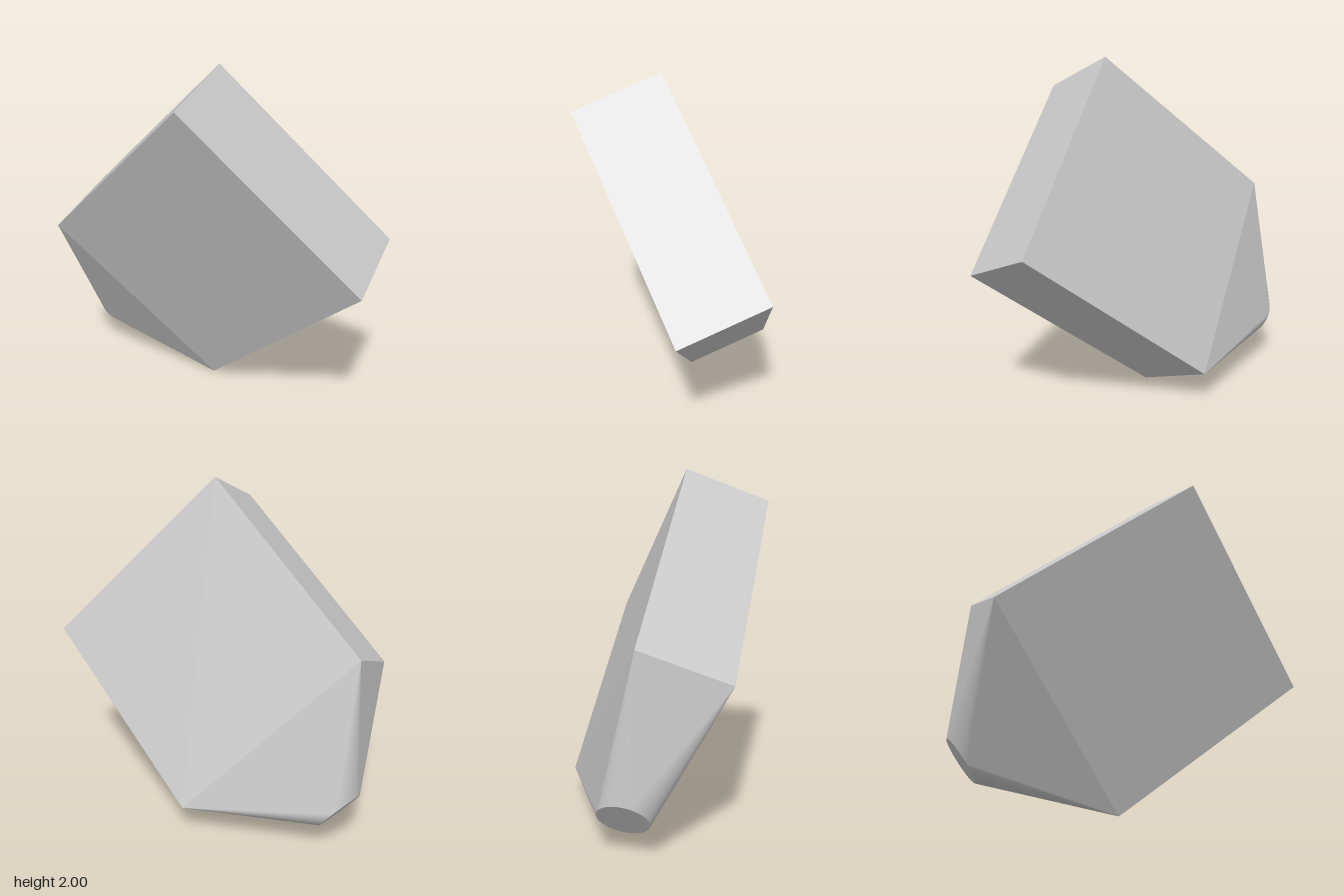
import * as THREE from 'three';

const W = 1.372, H = 0.525, L = 1.372; // block size; length runs along local z
const TIP_R = 0.143, TIP_H = 0.537;    // round tip radius and taper length
const ARC = 16;                        // segments per quarter of the tip

// Rectangle-to-circle taper: a cone patch at each corner, flat triangles between
function taperGeometry() {
  const pos = [], nor = [];
  const z0 = L / 2, z1 = z0 + TIP_H;
  const corner = (q) => new THREE.Vector3(
    (q === 0 || q === 3 ? 1 : -1) * W / 2, (q < 2 ? 1 : -1) * H / 2, z0);
  const rim = (a) => new THREE.Vector3(Math.cos(a) * TIP_R, Math.sin(a) * TIP_R, z1);
  const normalAt = (a, c) => new THREE.Vector3(-Math.sin(a), Math.cos(a), 0)
    .cross(rim(a).sub(c)).normalize();
  const tri = (points, normals) => points.forEach((p, i) => {
    pos.push(...p.toArray());
    nor.push(...normals[i].toArray());
  });

  for (let q = 0; q < 4; q++) {
    const c = corner(q);
    const start = q * Math.PI / 2, step = Math.PI / 2 / ARC;
    for (let i = 0; i < ARC; i++) {
      const a = start + i * step, b = a + step;
      tri([c, rim(b), rim(a)],
        [normalAt((a + b) / 2, c), normalAt(b, c), normalAt(a, c)]);
    }
    // flat side between this corner and the next
    const end = start + Math.PI / 2, n = normalAt(end, c);
    tri([c, corner((q + 1) % 4), rim(end)], [n, n, n]);
  }
  const g = new THREE.BufferGeometry();
  g.setAttribute('position', new THREE.Float32BufferAttribute(pos, 3));
  g.setAttribute('normal', new THREE.Float32BufferAttribute(nor, 3));
  return g;
}

export function createModel() {
  const grey = new THREE.MeshStandardMaterial({ color: 0xc8c8c8 });
  grey.name = 'plain grey';
  const model = new THREE.Group();
  model.name = 'taperedBlock';

  const add = (name, geometry) => {
    const mesh = new THREE.Mesh(geometry, grey);
    mesh.name = name;
    model.add(mesh);
    return mesh;
  };

  // Block, left open where the taper begins
  const box = new THREE.BoxGeometry(W, H, L);
  const index = Array.from(box.index.array);
  index.splice(24, 6);
  box.setIndex(index);
  box.clearGroups();
  add('block', box);

  add('taper', taperGeometry());
  add('roundTip', new THREE.CircleGeometry(TIP_R, ARC * 4)).position.z = L / 2 + TIP_H;

  // Lean the whole piece so the tip points down, back and to the right
  const axis = new THREE.Vector3(-0.611, -0.611, -0.503).normalize();
  const side = new THREE.Vector3(1, -1, 0).normalize();
  const up = axis.clone().cross(side);
  model.quaternion.setFromRotationMatrix(new THREE.Matrix4().makeBasis(side, up, axis));
  model.position.set(0, 1.002, 0.082);
  return model;
}
